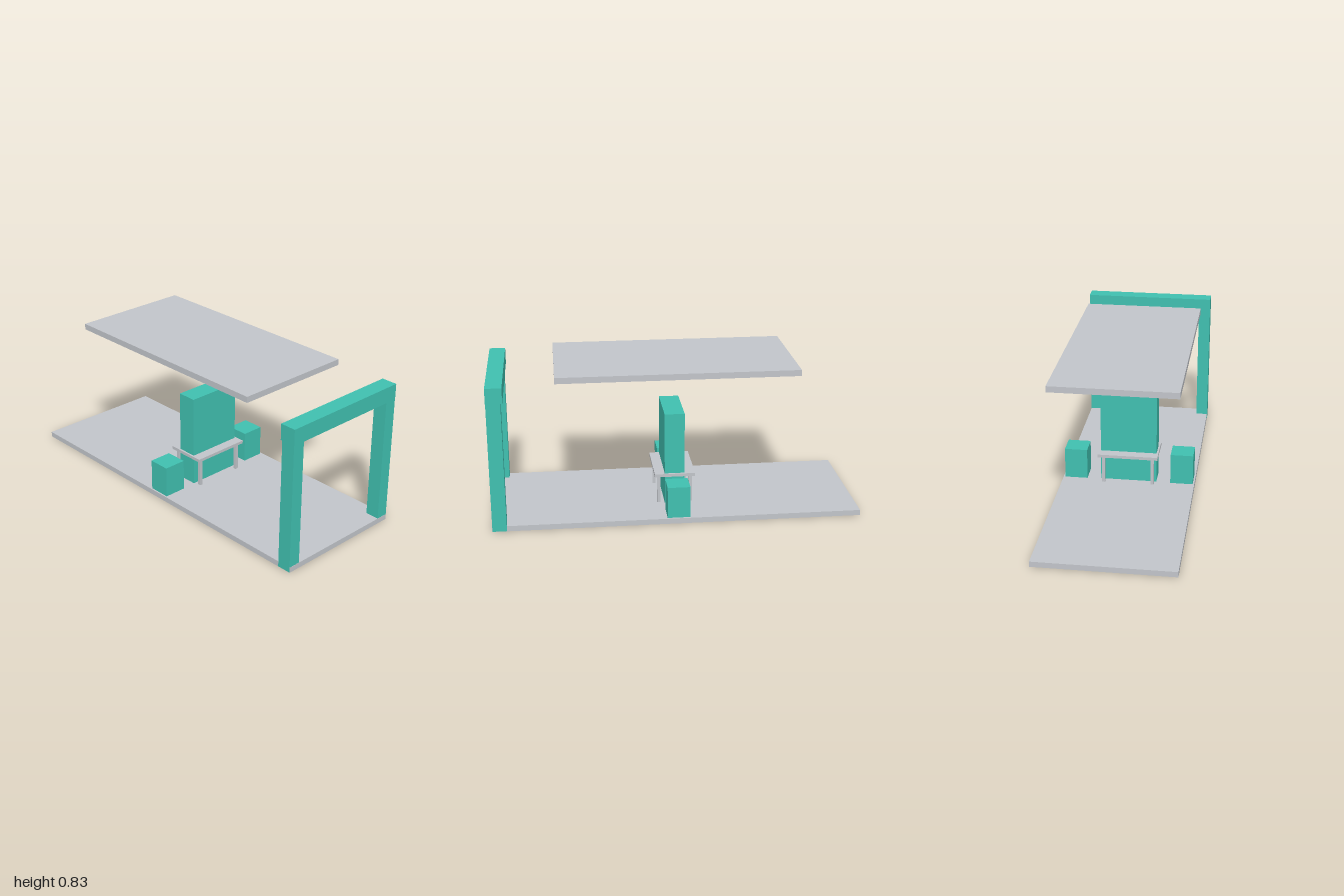
import * as THREE from 'three';

export function createModel() {
  const model = new THREE.Group();
  const teal = new THREE.MeshStandardMaterial({ color: 0x40c0b0 });
  teal.name = 'teal';
  const grey = new THREE.MeshStandardMaterial({ color: 0xc2c5ca });
  grey.name = 'light grey';

  // Adds a box spanning the given [min, max] ranges
  function block(name, material, [x0, x1], [y0, y1], [z0, z1], parent = model) {
    const mesh = new THREE.Mesh(new THREE.BoxGeometry(x1 - x0, y1 - y0, z1 - z0), material);
    mesh.position.set((x0 + x1) / 2, (y0 + y1) / 2, (z0 + z1) / 2);
    mesh.name = name;
    parent.add(mesh);
  }
  // Range of a given width around a centre
  const around = (centre, width) => [centre - width / 2, centre + width / 2];

  // Floor and floating roof
  block('floorSlab', grey, around(0, 0.747), [0, 0.03], [-1, 1]);
  block('roofPanel', grey, around(0, 0.672), [0.8, 0.833], around(-0.004, 1.296));

  // Entrance gate
  const gate = new THREE.Group();
  gate.name = 'entranceGate';
  model.add(gate);
  for (const [side, s] of [['left', 1], ['right', -1]]) {
    block(`${side}GatePost`, teal, around(s * 0.34, 0.068), [0.001, 0.714], [0.922, 0.999], gate);
  }
  block('gateBeam', teal, around(0, 0.748), [0.714, 0.8], [0.912, 1], gate);

  // Central panel and side blocks
  block('centrePanel', teal, around(0, 0.315), [0.001, 0.55], around(0, 0.11));
  for (const [side, s] of [['left', 1], ['right', -1]]) {
    block(`${side}SideBlock`, teal, around(s * 0.3 - 0.001, 0.127), [0.001, 0.205], around(-0.001, 0.123));
  }

  // Table around the central panel
  const table = new THREE.Group();
  table.name = 'table';
  model.add(table);
  block('tableTop', grey, around(0, 0.337), [0.189, 0.206], around(-0.001, 0.224), table);
  for (const x of [-0.138, 0.137]) {
    for (const z of [-0.089, 0.087]) {
      block('tableLeg', grey, around(x, 0.018), [0.03, 0.189], around(z, 0.018), table);
    }
  }
  return model;
}
